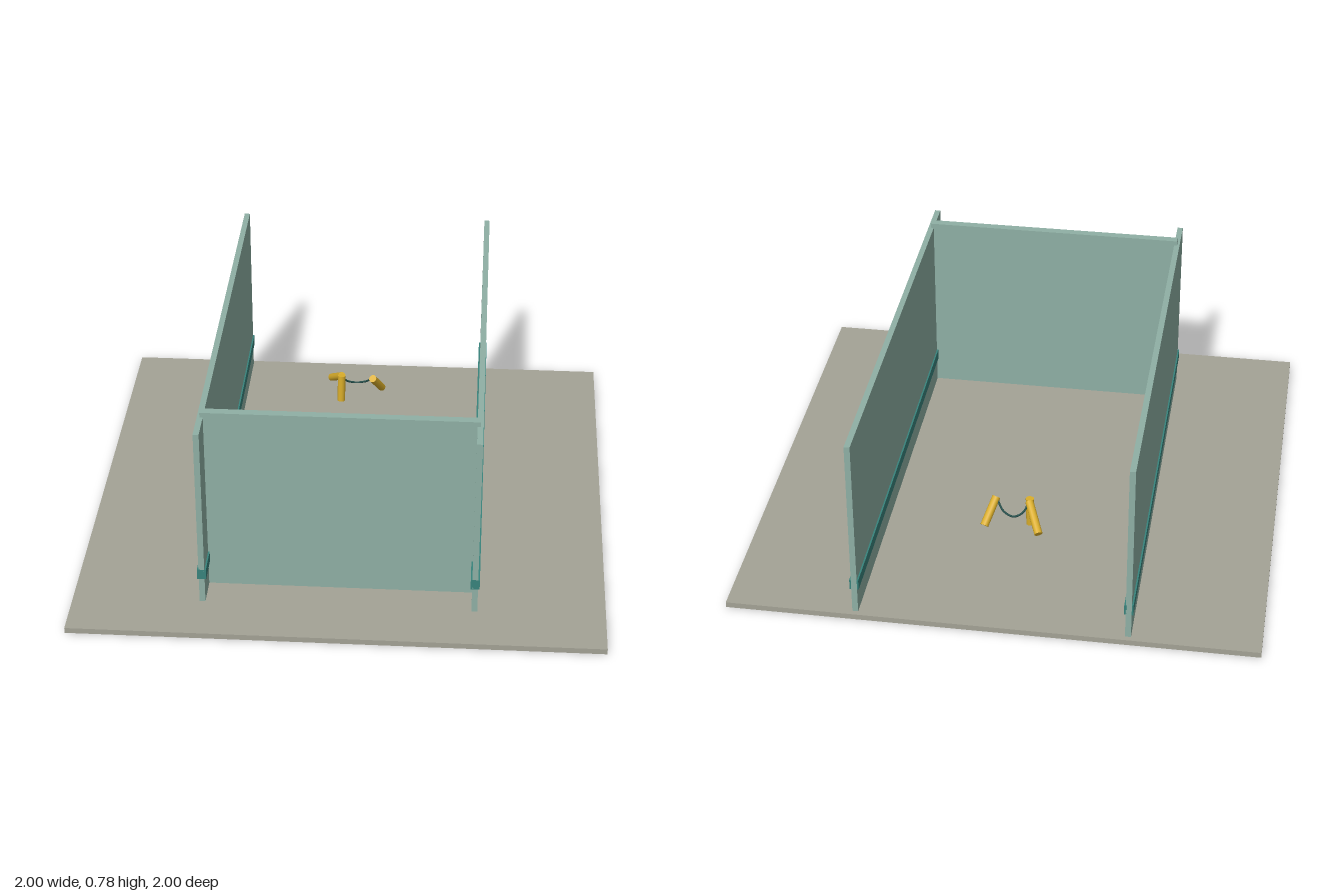
import * as THREE from 'three';

export function createModel() {
  const model = new THREE.Group();
  const material = (name, color) => {
    const m = new THREE.MeshStandardMaterial({ color });
    m.name = name;
    return m;
  };
  const stone = material('stone', 0xa4a396);
  const paleGreen = material('paleGreen', 0x8fb0a5);
  const teal = material('teal', 0x38837c);
  const gold = material('gold', 0xdaae2a);
  const darkCord = material('darkCord', 0x24504c);

  const add = (name, geometry, mat) => {
    const mesh = new THREE.Mesh(geometry, mat);
    mesh.name = name;
    model.add(mesh);
    return mesh;
  };
  // Box given by its lower and upper corners
  const box = (name, mat, [x0, y0, z0], [x1, y1, z1]) =>
    add(name, new THREE.BoxGeometry(x1 - x0, y1 - y0, z1 - z0), mat)
      .position.set((x0 + x1) / 2, (y0 + y1) / 2, (z0 + z1) / 2);

  // Floor slab and the three walls
  box('floor', stone, [-1, 0, -1], [1, 0.022, 1]);
  box('frontWall', paleGreen, [-0.511, 0.02, 0.648], [0.511, 0.778, 0.68]);
  for (const [side, s] of [['left', 1], ['right', -1]]) {
    const x = 0.51 * s;
    box(side + 'Wall', paleGreen, [x - 0.011, 0.02, -0.979], [x + 0.011, 0.759, 0.8]);
    box(side + 'Rail', teal, [x - 0.017, 0.124, -0.979], [x + 0.017, 0.166, 0.8]);
  }

  // Three short rods, each running between two points
  const rod = (name, from, to) => {
    const a = new THREE.Vector3(...from), b = new THREE.Vector3(...to);
    const dir = b.clone().sub(a);
    const mesh = add(name, new THREE.CylinderGeometry(0.016, 0.016, dir.length(), 12), gold);
    mesh.position.copy(a).add(b).multiplyScalar(0.5);
    mesh.quaternion.setFromUnitVectors(new THREE.Vector3(0, 1, 0), dir.normalize());
  };
  rod('leftRod', [0.09, 0.165, -0.57], [0.055, 0.25, -0.495]);
  rod('rightRod', [-0.125, 0.18, -0.615], [-0.075, 0.25, -0.51]);
  rod('middleRod', [-0.077, 0.14, -0.497], [-0.075, 0.258, -0.5]);

  // Sagging cord that links the rods
  const cordPath = new THREE.CatmullRomCurve3([
    [-0.073, 0.25, -0.505], [-0.055, 0.215, -0.53], [-0.02, 0.2, -0.545],
    [0.022, 0.213, -0.533], [0.052, 0.248, -0.5],
  ].map((p) => new THREE.Vector3(...p)));
  add('cord', new THREE.TubeGeometry(cordPath, 24, 0.004, 6), darkCord);

  return model;
}
